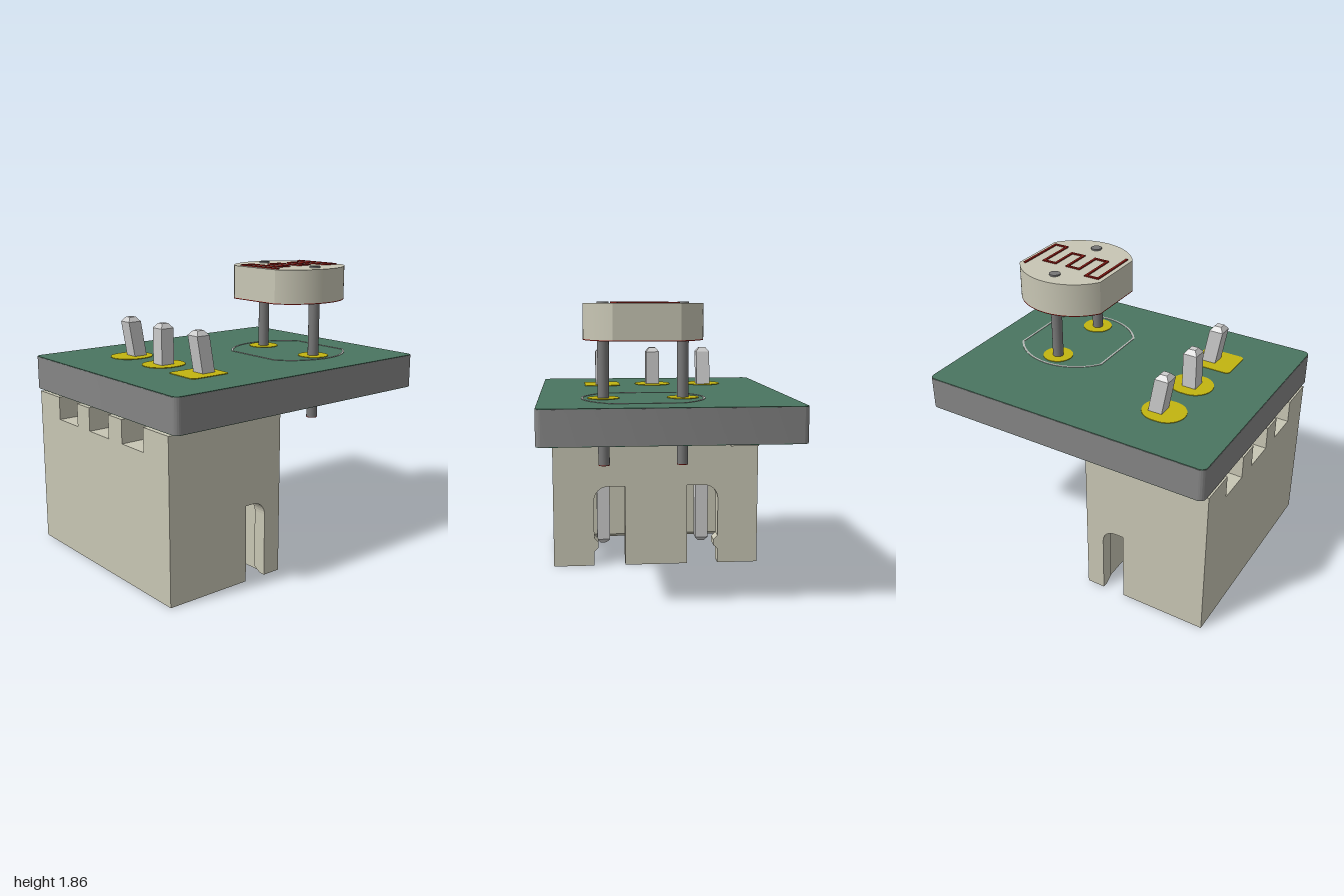
import * as THREE from 'three';
import { toCreasedNormals } from 'three/addons/utils/BufferGeometryUtils.js';

const mat = (color, flatShading = false) => new THREE.MeshStandardMaterial({ color, flatShading });
const M = {
  board: mat(0x858585), mask: mat(0x4a7560), copper: mat(0xc2b410), cream: mat(0xc8c6b4),
  pin: mat(0xcccccc, true), lead: mat(0x777777), red: mat(0x8b1a14), silk: mat(0xb4b8b4), black: mat(0x151515),
};

function add(parent, name, geo, material, x = 0, y = 0, z = 0) {
  const m = new THREE.Mesh(geo, material);
  m.name = name;
  m.position.set(x, y, z);
  parent.add(m);
  return m;
}

// Box given by its limits on each axis
function block(parent, name, material, [x0, x1], [y0, y1], [z0, z1]) {
  return add(parent, name, new THREE.BoxGeometry(x1 - x0, y1 - y0, z1 - z0), material,
    (x0 + x1) / 2, (y0 + y1) / 2, (z0 + z1) / 2);
}

// Lay a plan shape flat and give it height h
function slab(shape, h) {
  const g = new THREE.ExtrudeGeometry(shape, { depth: h, bevelEnabled: false, curveSegments: 24 });
  g.rotateX(-Math.PI / 2);
  return toCreasedNormals(g, 0.5);
}

const outline = (pts) => new THREE.Shape(pts.map(([x, y]) => new THREE.Vector2(x, y)));

function roundedRect(hx, hy, r) {
  const s = new THREE.Shape();
  s.absarc(hx - r, hy - r, r, 0, Math.PI / 2);
  s.absarc(-hx + r, hy - r, r, Math.PI / 2, Math.PI);
  s.absarc(-hx + r, -hy + r, r, Math.PI, Math.PI * 1.5);
  s.absarc(hx - r, -hy + r, r, Math.PI * 1.5, Math.PI * 2);
  s.closePath();
  return s;
}

// Circle with its two x sides cut flat
function flattenedDisc(r, halfX, Type = THREE.Shape) {
  const a = Math.acos(halfX / r);
  const s = new Type();
  s.absarc(0, 0, r, a, Math.PI - a);
  s.absarc(0, 0, r, Math.PI + a, 2 * Math.PI - a);
  s.closePath();
  return s;
}

// Quarter round from the top of a slot down to its side
function quarter(cx, cy, r) {
  return Array.from({ length: 9 }, (_, i) => {
    const a = Math.PI / 2 * (1 - i / 8);
    return [cx + r * Math.cos(a), cy + r * Math.sin(a)];
  });
}

// Square pin lofted through sections [y, centre x, half width], top first
function pinGeometry(sections) {
  const n = sections.length - 1;
  const g = new THREE.CylinderGeometry(Math.SQRT2, Math.SQRT2, n, 4, n);
  g.rotateY(Math.PI / 4);
  const p = g.attributes.position;
  for (let i = 0; i < p.count; i++) {
    const [y, cx, half] = sections[Math.round(n / 2 - p.getY(i))];
    p.setXYZ(i, cx + p.getX(i) * half, y, p.getZ(i) * half);
  }
  g.computeVertexNormals();
  return g;
}

// Strip under a wall, its inner bottom edge chamfered
function rim(parent, [x0, x1], [z0, z1], axis, inward) {
  const m = block(parent, 'housingRim', M.cream, [x0, x1], [0, 0.03], [z0, z1]);
  m.geometry = m.geometry.toNonIndexed();
  const p = m.geometry.attributes.position;
  for (let i = 0; i < p.count; i++) {
    const v = axis === 'x' ? p.getX(i) : p.getZ(i);
    if (p.getY(i) < 0 && v * inward > 0) {
      if (axis === 'x') p.setX(i, v - inward * 0.05);
      else p.setZ(i, v - inward * 0.05);
    }
  }
  m.geometry.computeVertexNormals();
}

function makeBoard() {
  const g = new THREE.Group();
  g.name = 'circuitBoard';
  add(g, 'boardCore', slab(roundedRect(0.995, 0.79, 0.04), 0.212), M.board, 0, 1.044, 0);
  for (const y of [1.04, 1.256]) add(g, 'solderMask', slab(roundedRect(0.993, 0.788, 0.04), 0.004), M.mask, 0, y, 0);
  // Pads on both faces
  for (const y of [1.036, 1.26]) {
    for (const z of [-0.365, 0, 0.365]) {
      const s = z > 0 ? roundedRect(0.142, 0.125, 0.03) : roundedRect(0.142, 0.125, 0.124);
      add(g, 'pinPad', slab(s, 0.004), M.copper, -0.505, y, z);
    }
    for (const z of [-0.112, 0.385]) add(g, 'leadPad', new THREE.CylinderGeometry(0.1, 0.1, 0.004, 32), M.copper, 0.45, y + 0.002, z);
  }
  // Printed outline beneath the sensor
  const ring = flattenedDisc(0.388, 0.323);
  ring.holes.push(flattenedDisc(0.375, 0.31, THREE.Path));
  add(g, 'sensorOutline', slab(ring, 0.003), M.silk, 0.45, 1.26, 0.137);
  return g;
}

function makeHousing() {
  const g = new THREE.Group();
  g.name = 'connectorHousing';
  // Roof with ribs left between the three pin channels
  block(g, 'housingRoof', M.cream, [-0.99, -0.17], [0.7, 0.88], [-0.715, 0.715]);
  for (const s of [-1, 1]) {
    for (const [a, b] of [[0.11, 0.255], [0.48, 0.725]]) {
      block(g, 'housingRib', M.cream, [-1, -0.16], [0.88, 1.03], s > 0 ? [a, b] : [-b, -a]);
    }
  }
  // Slotted wall with small catches in the slots
  const half = [[0.22, 0], [0.22, 0.57], ...quarter(0.34, 0.47, 0.1), [0.44, 0.2], [0.41, 0.17],
    [0.41, 0.13], [0.44, 0.1], [0.44, 0], [0.725, 0], [0.725, 0.88]];
  const mirrored = half.map(([x, y]) => [-x, y]).reverse();
  const slotted = new THREE.ExtrudeGeometry(outline([...half, ...mirrored]), { depth: 0.1, bevelEnabled: false });
  slotted.rotateY(Math.PI / 2);
  add(g, 'slottedWall', slotted, M.cream, -0.26, 0, 0);
  // Plain wall opposite
  block(g, 'plainWall', M.cream, [-1, -0.91], [0.03, 0.88], [-0.725, 0.725]);
  rim(g, [-1, -0.91], [-0.725, 0.725], 'x', 1);
  // End walls, each with one slot
  const end = outline([[-1, 0.03], [-0.43, 0.03], [-0.43, 0.49], ...quarter(-0.37, 0.4, 0.09),
    [-0.28, 0.03], [-0.16, 0.03], [-0.16, 0.88], [-1, 0.88]]);
  const endGeo = new THREE.ExtrudeGeometry(end, { depth: 0.09, bevelEnabled: false });
  for (const s of [-1, 1]) {
    add(g, 'endWall', endGeo, M.cream, 0, 0, s > 0 ? 0.635 : -0.725);
    const zr = s > 0 ? [0.635, 0.725] : [-0.725, -0.635];
    rim(g, [-1, -0.43], zr, 'z', -s);
    rim(g, [-0.28, -0.16], zr, 'z', -s);
  }
  return g;
}

function makePins() {
  const g = new THREE.Group();
  g.name = 'connectorPins';
  for (const z of [-0.365, 0, 0.365]) {
    const bend = z === 0 ? 0 : 0.043; // outer pins are kinked in the board
    add(g, 'pin', pinGeometry([[1.525, -0.505, 0.023], [1.495, -0.505, 0.047], [1.25, -0.505 + bend, 0.047],
      [1.04, -0.505, 0.047], [0.11, -0.505, 0.047], [0.08, -0.505, 0.023]]), M.pin, 0, 0, z);
  }
  return g;
}

function makeSensor() {
  const g = new THREE.Group();
  g.name = 'lightSensor';
  const disc = flattenedDisc(0.372, 0.313);
  add(g, 'sensorBody', slab(disc, 0.216), M.cream, 0.45, 1.629, 0.137);
  add(g, 'sensorUnderside', slab(disc, 0.006), M.red, 0.45, 1.623, 0.137);
  for (const z of [-0.112, 0.385]) {
    add(g, 'lead', new THREE.CylinderGeometry(0.036, 0.036, 1.015, 24), M.lead, 0.45, 1.3475, z);
    add(g, 'leadEnd', new THREE.CylinderGeometry(0.036, 0.036, 0.005, 24), M.red, 0.45, 0.8375, z);
  }
  // Meandering sensing track
  const path = [[0.175, 0.32], [0.175, -0.03], [0.265, -0.03], [0.265, 0.23], [0.36, 0.23], [0.36, 0.035], [0.453, 0.035],
    [0.453, 0.23], [0.545, 0.23], [0.545, 0.035], [0.635, 0.035], [0.635, 0.3], [0.727, 0.3], [0.727, -0.05]];
  const w = 0.008;
  for (let i = 1; i < path.length; i++) {
    const [a, b] = [path[i - 1], path[i]];
    block(g, 'sensingTrack', M.red, [Math.min(a[0], b[0]) - w, Math.max(a[0], b[0]) + w], [1.843, 1.853],
      [Math.min(a[1], b[1]) - w, Math.max(a[1], b[1]) + w]);
  }
  return g;
}

function makeResistor() {
  const g = new THREE.Group();
  g.name = 'surfaceResistor';
  block(g, 'resistorBody', M.cream, [0.35, 0.55], [0.975, 1.036], [-0.57, -0.4]);
  block(g, 'resistorCoating', M.black, [0.355, 0.545], [0.965, 0.975], [-0.57, -0.4]);
  for (const s of [-1, 1]) {
    const x = (a, b) => (s > 0 ? [0.45 + a, 0.45 + b] : [0.45 - b, 0.45 - a]);
    block(g, 'resistorCap', M.cream, x(0.1, 0.145), [0.968, 1.036], [-0.572, -0.398]);
    block(g, 'resistorPad', M.copper, x(0.08, 0.23), [1.035, 1.041], [-0.585, -0.385]);
  }
  return g;
}

export function createModel() {
  const model = new THREE.Group();
  model.name = 'lightSensorModule';
  model.add(makeBoard(), makeHousing(), makePins(), makeSensor(), makeResistor());
  return model;
}
